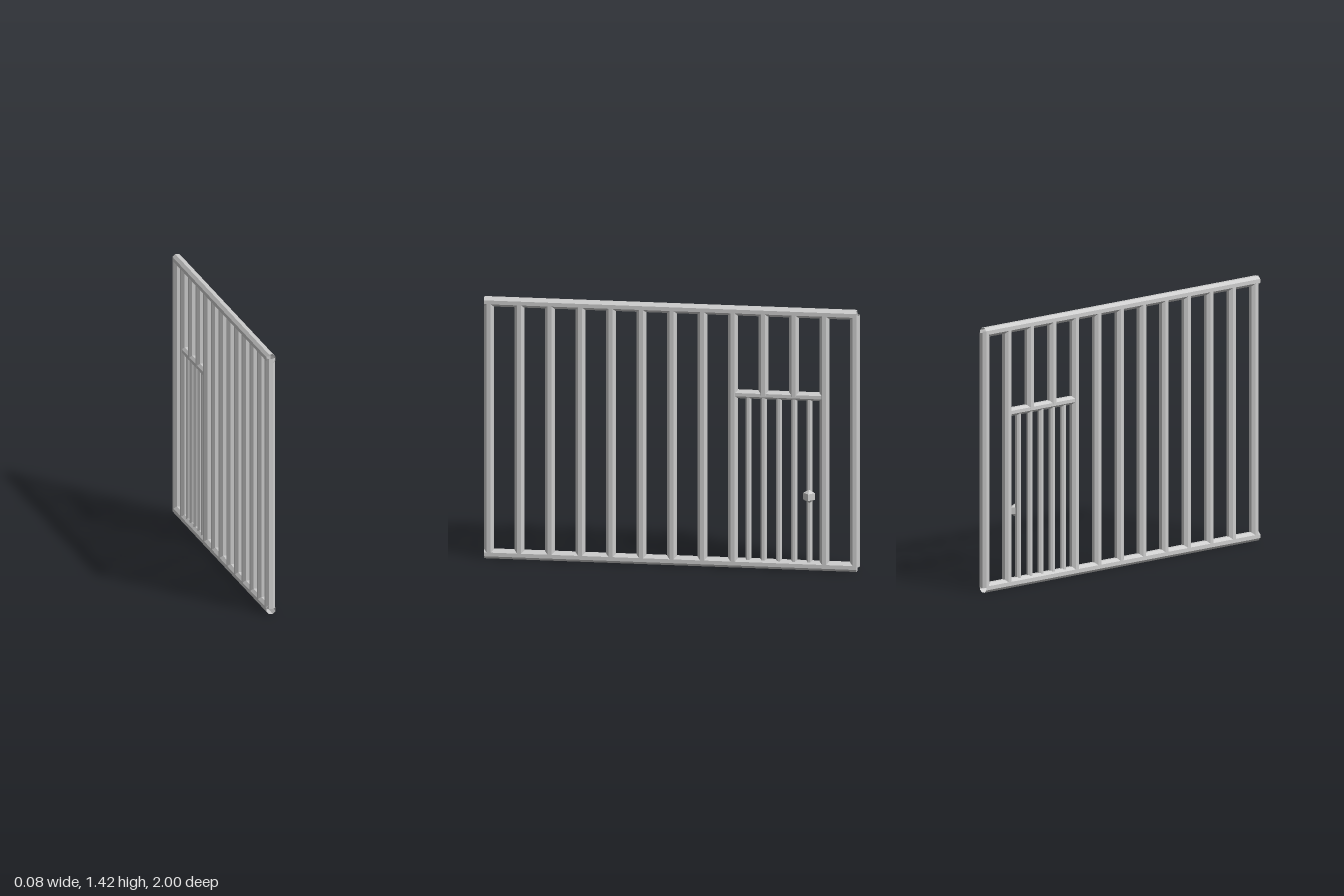
import * as THREE from 'three';

const material = new THREE.MeshStandardMaterial({ color: 0xcccccc, flatShading: true, side: THREE.DoubleSide });
const X = -0.013; // plane of the bars
const R = 0.025;  // half width of the thick bars

// Open eight-sided tube with flats facing the axes
function tube(name, halfWidth, length) {
  const geo = new THREE.CylinderGeometry(1, 1, length, 8, 1, true);
  geo.rotateY(Math.PI / 8);
  const r = halfWidth / Math.cos(Math.PI / 8);
  geo.scale(r, 1, r);
  const mesh = new THREE.Mesh(geo, material);
  mesh.name = name;
  return mesh;
}

function upright(name, halfWidth, z, y0, y1) {
  const bar = tube(name, halfWidth, y1 - y0);
  bar.position.set(X, (y0 + y1) / 2, z);
  return bar;
}

function rail(name, halfWidth, y, z0, z1) {
  const bar = tube(name, halfWidth, z1 - z0);
  bar.rotation.x = Math.PI / 2;
  bar.position.set(X, y, (z0 + z1) / 2);
  return bar;
}

export function createModel() {
  const model = new THREE.Group();
  model.name = 'barredGate';
  const low = 0.028, high = 1.4, lintel = 0.946;

  // Outer rails
  model.add(rail('bottomRail', R, 0.025, -0.985, 1));
  model.add(rail('topRail', R, high, -0.985, 1));

  // Thirteen evenly spaced bars; two stop above the door
  const pitch = 0.1625;
  for (let i = 0; i < 13; i++) {
    const aboveDoor = i === 9 || i === 10;
    model.add(upright(aboveDoor ? 'shortBar' : 'bar', R, 0.975 - i * pitch, aboveDoor ? lintel : low, high));
  }

  // Door: lintel, thin bars and lock
  const door = new THREE.Group();
  door.name = 'door';
  door.add(rail('doorLintel', 0.022, lintel, -0.8125, -0.325));
  for (let i = 1; i <= 5; i++) {
    door.add(upright('doorBar', 0.016, -0.325 - i * pitch / 2, low, lintel));
  }
  const lock = new THREE.Mesh(new THREE.SphereGeometry(0.036, 4, 3), material);
  lock.name = 'lock';
  lock.position.set(0.007, 0.406, -0.732);
  door.add(lock);
  model.add(door);

  return model;
}
